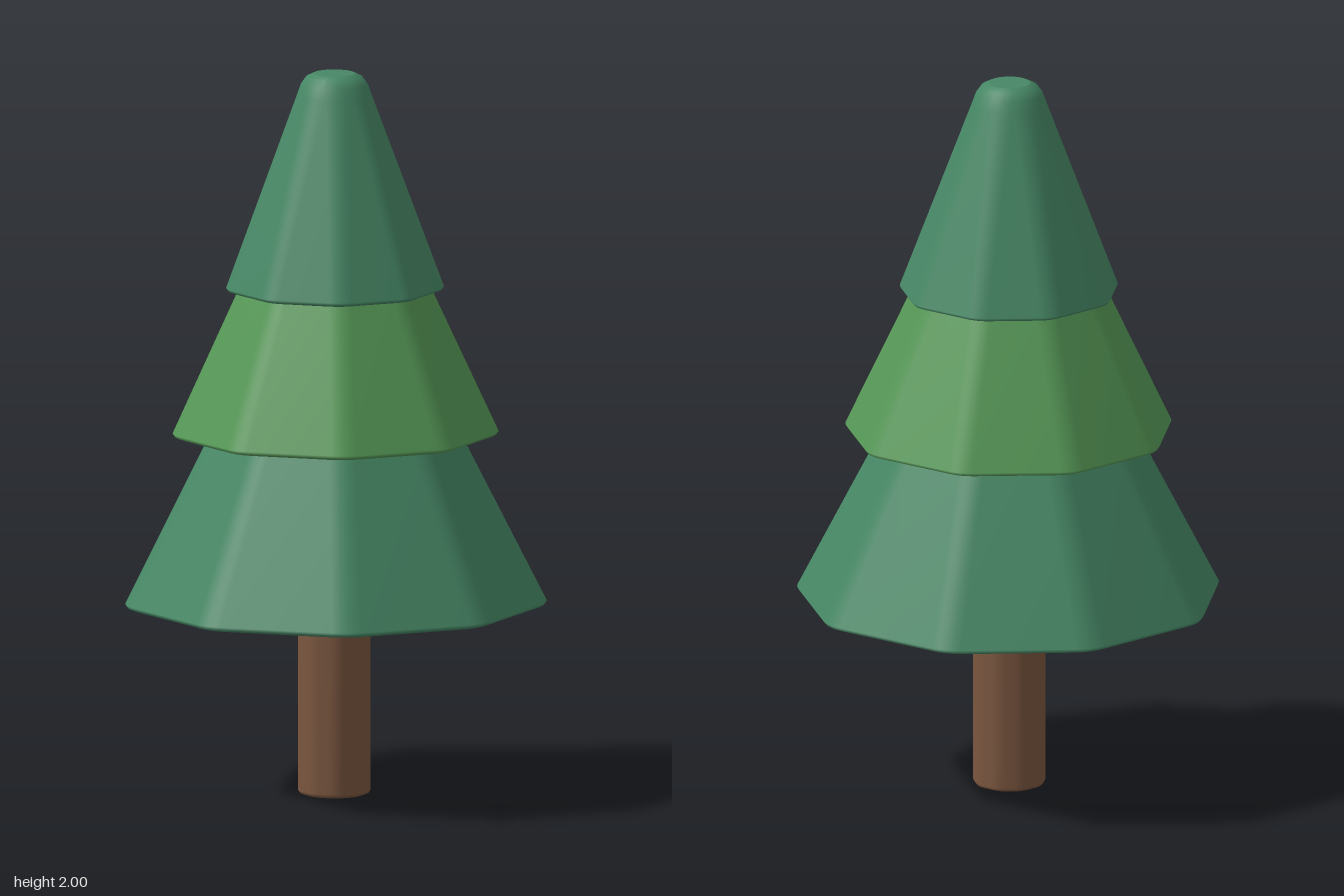
import * as THREE from 'three';

const SIDES = 9;
const ARC = 4; // segments in each rounded corner

// Nine-sided outline with filleted corners, one corner pointing to the back
function outline(radius, fillet) {
  const points = [];
  const half = Math.PI / SIDES;
  const centre = radius - fillet / Math.cos(half);
  for (let i = 0; i < SIDES; i++) {
    const corner = i * 2 * half;
    for (let j = 0; j <= ARC; j++) {
      const a = corner - half + (2 * half * j) / ARC;
      points.push([
        Math.sin(corner) * centre + Math.sin(a) * fillet,
        -Math.cos(corner) * centre - Math.cos(a) * fillet,
      ]);
    }
  }
  return points;
}

// Joins rings of [y, radius, fillet], listed from bottom to top, and caps both ends
function loft(rings) {
  const positions = [];
  const index = [];
  const n = SIDES * (ARC + 1);
  const addRing = ([y, radius, fillet]) => {
    const start = positions.length / 3;
    for (const [x, z] of outline(radius, fillet)) positions.push(x, y, z);
    return start;
  };
  const starts = rings.map(addRing);
  for (let k = 0; k < starts.length - 1; k++) {
    for (let i = 0; i < n; i++) {
      const j = (i + 1) % n;
      const a = starts[k] + i, b = starts[k] + j;
      const c = starts[k + 1] + i, d = starts[k + 1] + j;
      index.push(a, c, b, b, c, d);
    }
  }
  const cap = (ring, up) => {
    const start = addRing(ring);
    const middle = positions.length / 3;
    positions.push(0, ring[0], 0);
    for (let i = 0; i < n; i++) {
      const a = start + i, b = start + ((i + 1) % n);
      if (up) index.push(middle, b, a);
      else index.push(middle, a, b);
    }
  };
  cap(rings[0], false);
  cap(rings[rings.length - 1], true);
  const geometry = new THREE.BufferGeometry();
  geometry.setAttribute('position', new THREE.Float32BufferAttribute(positions, 3));
  geometry.setIndex(index);
  geometry.computeVertexNormals();
  return geometry;
}

// Softly rounded lower rim shared by the trunk and the foliage
function rim(y, radius, fillet, size) {
  return [
    [y, radius - size, fillet],
    [y + size * 0.25, radius - size * 0.3, fillet],
    [y + size * 0.7, radius, fillet],
  ];
}

export function createModel() {
  const tree = new THREE.Group();
  tree.name = 'pineTree';

  const bark = new THREE.MeshStandardMaterial({ name: 'barkBrown', color: 0x7a563f });
  const pine = new THREE.MeshStandardMaterial({ name: 'pineGreen', color: 0x468765 });
  const leaf = new THREE.MeshStandardMaterial({ name: 'leafGreen', color: 0x559756 });

  const add = (name, material, rings) => {
    const mesh = new THREE.Mesh(loft(rings), material);
    mesh.name = name;
    mesh.position.z = 0.012;
    tree.add(mesh);
  };

  // Trunk
  add('trunk', bark, [...rim(0, 0.104, 0.06, 0.018), [0.56, 0.104, 0.06]]);

  // Three stacked tiers of foliage
  add('lowerFoliage', pine, [...rim(0.53, 0.592, 0.12, 0.022), [1.08, 0.315, 0.1]]);
  add('middleFoliage', leaf, [...rim(1.0, 0.458, 0.1, 0.02), [1.46, 0.247, 0.09]]);
  add('upperFoliage', pine, [
    ...rim(1.4, 0.307, 0.085, 0.018),
    [1.94, 0.108, 0.085],
    [1.97, 0.097, 0.082],
    [1.99, 0.082, 0.072],
    [2.0, 0.06, 0.054],
  ]);

  return tree;
}
